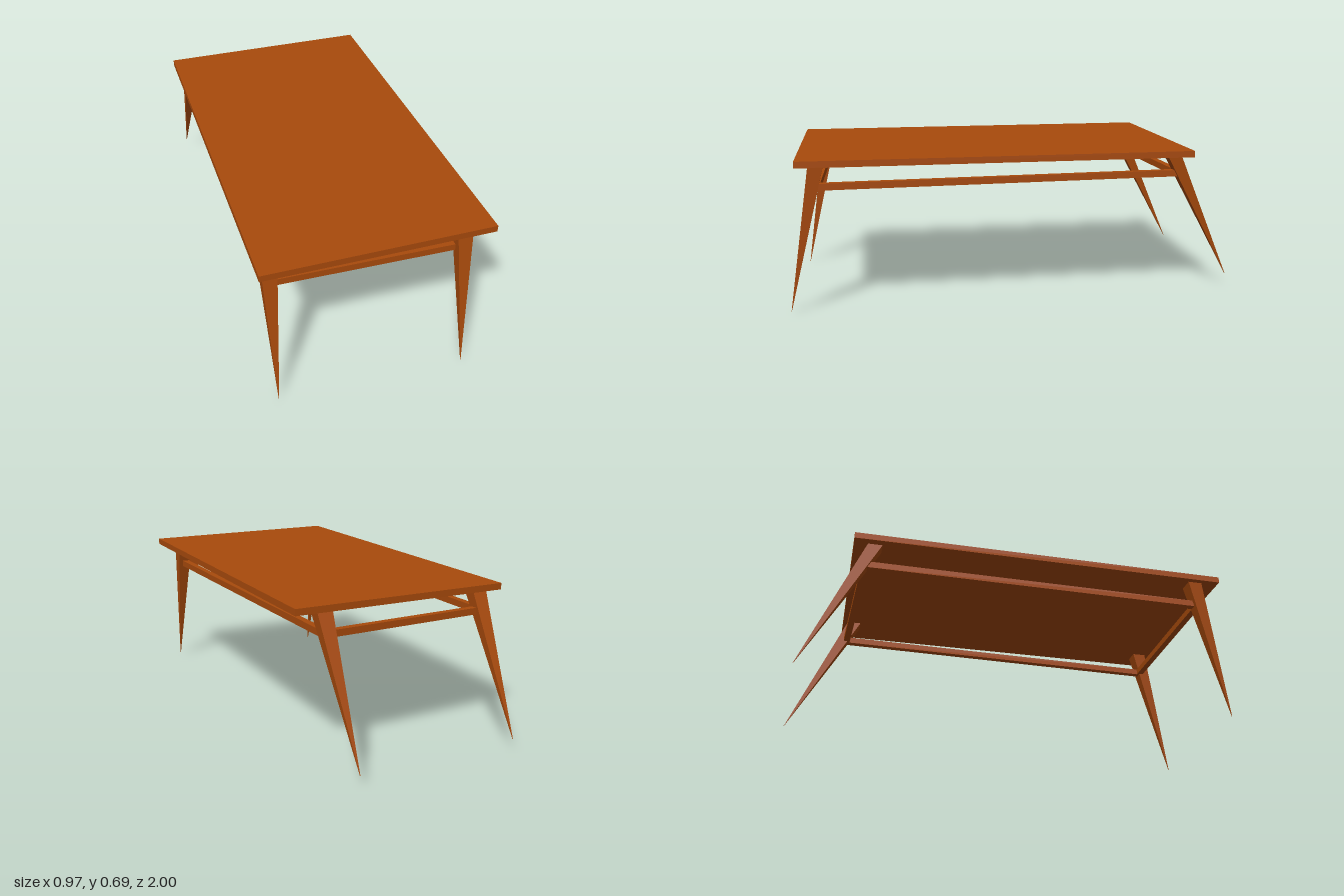
import * as THREE from 'three';

const wood = new THREE.MeshStandardMaterial({ color: 0xa84a0c });
wood.name = 'wood';

const LEG_TOP = 0.675;

// Four-sided spike sheared from its top centre down to an offset tip
function makeLeg(name, top, tip) {
  const geo = new THREE.CylinderGeometry(Math.SQRT1_2, 0.015, 1, 4).rotateY(Math.PI / 4).toNonIndexed();
  const p = geo.attributes.position;
  for (let i = 0; i < p.count; i++) {
    const t = p.getY(i) + 0.5;
    p.setXYZ(
      i,
      THREE.MathUtils.lerp(tip[0], top[0], t) + p.getX(i) * 0.07,
      THREE.MathUtils.lerp(tip[1], LEG_TOP, t),
      THREE.MathUtils.lerp(tip[2], top[1], t) + p.getZ(i) * 0.066
    );
  }
  geo.computeVertexNormals();
  const leg = new THREE.Mesh(geo, wood);
  leg.name = name;
  return leg;
}

// Square bar running between two points
function makeBar(name, a, b) {
  const from = new THREE.Vector3(...a);
  const to = new THREE.Vector3(...b);
  const bar = new THREE.Mesh(new THREE.BoxGeometry(0.03, 0.029, from.distanceTo(to)), wood);
  bar.position.copy(from).add(to).multiplyScalar(0.5);
  bar.lookAt(to);
  bar.name = name;
  return bar;
}

export function createModel() {
  const table = new THREE.Group();
  table.name = 'table';

  // Tabletop
  const slab = new THREE.Mesh(new THREE.BoxGeometry(0.968, 0.028, 1.71), wood);
  slab.position.set(0, 0.671, 0.095);
  slab.name = 'tabletop';
  table.add(slab);

  // Splayed legs: top centre (x, z), then tip (x, y, z)
  const legs = [
    ['frontLeftLeg', [0.375, 0.863], [0.375, 0.008, 1.0]],
    ['frontRightLeg', [-0.425, 0.835], [-0.425, 0, 0.965]],
    ['backLeftLeg', [0.346, -0.695], [0.33, 0.07, -0.997]],
    ['backRightLeg', [-0.415, -0.658], [-0.428, 0.06, -0.962]],
  ];
  for (const [name, top, tip] of legs) table.add(makeLeg(name, top, tip));

  // Stretcher frame joining the legs
  const corners = [
    [0.37, 0.556, 0.868],
    [-0.42, 0.556, 0.85],
    [-0.415, 0.564, -0.705],
    [0.345, 0.564, -0.735],
  ];
  const names = ['frontStretcher', 'rightStretcher', 'backStretcher', 'leftStretcher'];
  names.forEach((name, i) => table.add(makeBar(name, corners[i], corners[(i + 1) % 4])));

  return table;
}
